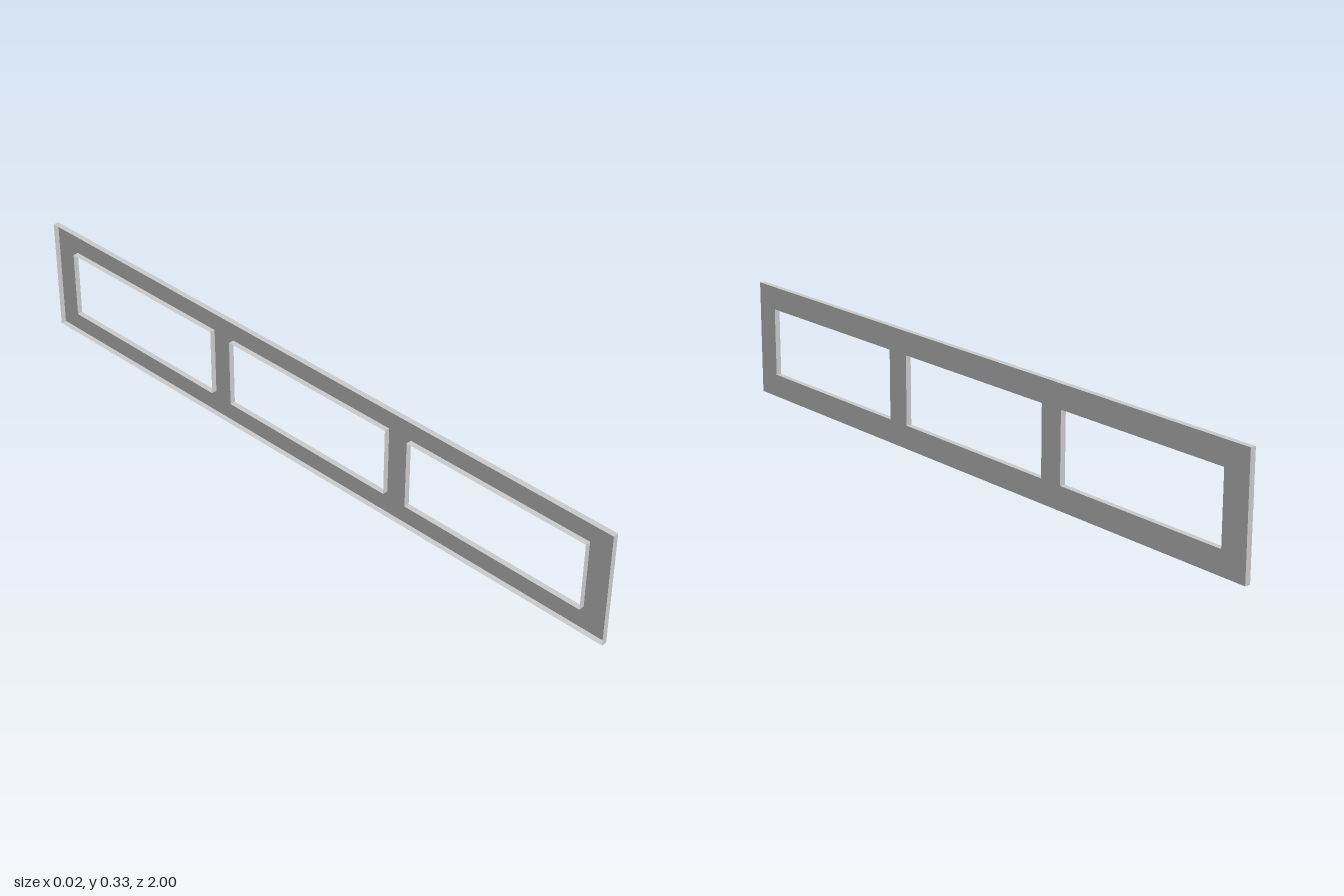
import * as THREE from 'three';

const H = 0.333, T = 0.016;            // panel height and depth
const LOW = 0.067, HIGH = 0.266;       // window sill and head
const WINDOWS = [[-0.925, -0.359], [-0.285, 0.281], [0.354, 0.92]];

const material = new THREE.MeshStandardMaterial({
  color: 0xcccccc, flatShading: true, side: THREE.DoubleSide,
});

// Counter-clockwise rectangle corners
const rect = (u0, v0, u1, v1) => [[u0, v0], [u1, v0], [u1, v1], [u0, v1]]
  .map(([u, v]) => new THREE.Vector2(u, v));

// Strip of quads around a closed loop, from the face to the open back
function rim(loop) {
  const pos = [];
  loop.forEach((a, i) => {
    const b = loop[(i + 1) % loop.length];
    pos.push(a.x, a.y, -T / 2, b.x, b.y, -T / 2, b.x, b.y, T / 2);
    pos.push(a.x, a.y, -T / 2, b.x, b.y, T / 2, a.x, a.y, T / 2);
  });
  const g = new THREE.BufferGeometry();
  g.setAttribute('position', new THREE.Float32BufferAttribute(pos, 3));
  g.computeVertexNormals();
  return g;
}

export function createModel() {
  const model = new THREE.Group();
  model.name = 'windowPanel';
  const add = (name, geometry) => {
    geometry.rotateY(Math.PI / 2);     // face towards +x, length along z
    const mesh = new THREE.Mesh(geometry, material);
    mesh.name = name;
    model.add(mesh);
  };

  const outline = rect(-1, 0, 1, H);
  const openings = WINDOWS.map(([a, b]) => rect(a, LOW, b, HIGH).reverse());

  // Face sheet with three windows; the opposite side is open
  const shape = new THREE.Shape(outline);
  shape.holes = openings.map((o) => new THREE.Path(o));
  add('faceSheet', new THREE.ShapeGeometry(shape).translate(0, 0, T / 2));

  // Edge walls
  add('outerRim', rim(outline));
  openings.forEach((o, i) => add(`windowRim${i + 1}`, rim(o)));
  return model;
}
